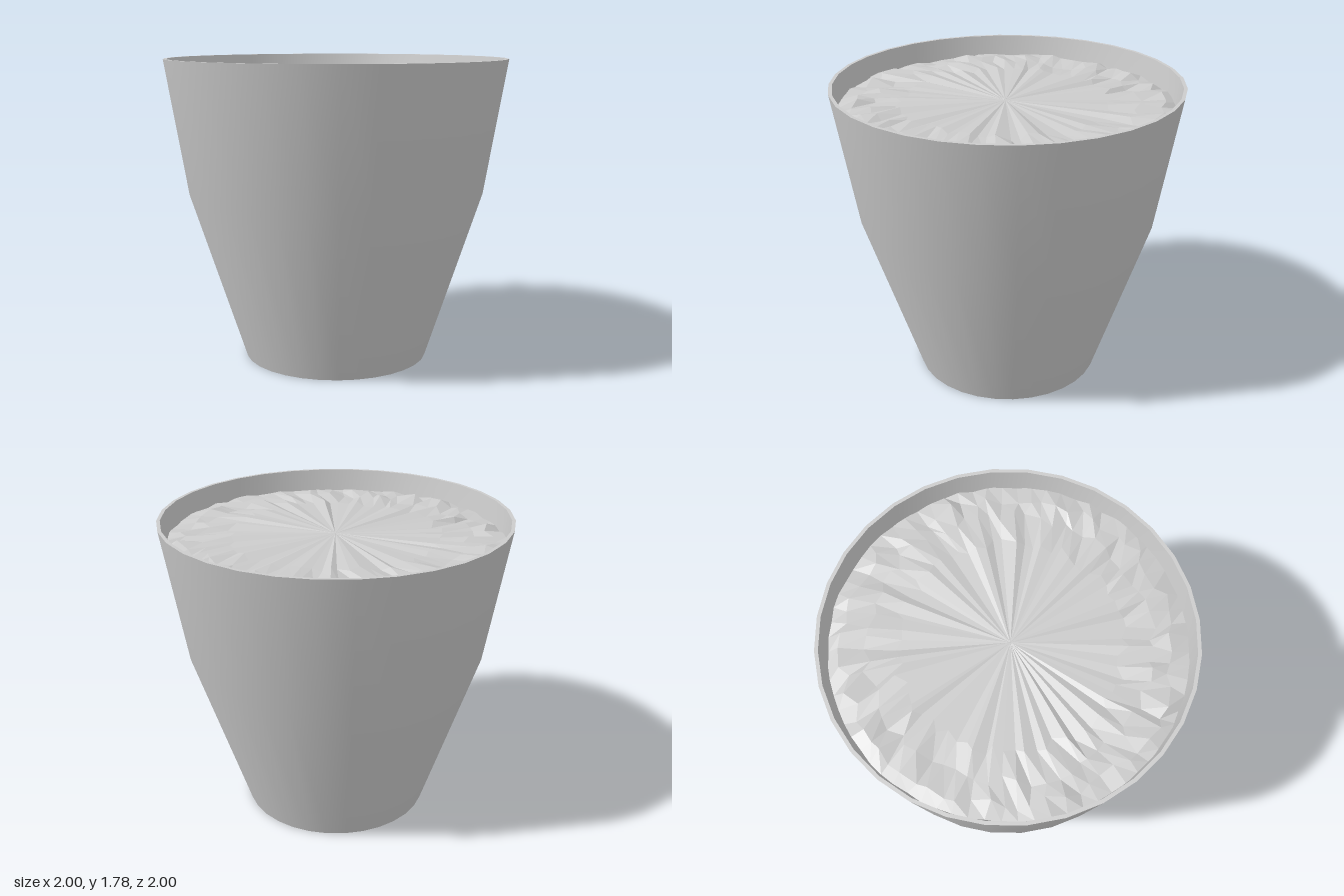
import * as THREE from 'three';
import { toCreasedNormals } from 'three/addons/utils/BufferGeometryUtils.js';

const material = new THREE.MeshStandardMaterial({ color: 0xcccccc });
const soilMaterial = new THREE.MeshStandardMaterial({
  color: 0xcccccc, flatShading: true, side: THREE.DoubleSide,
});

// Small seeded generator, values in -1..1
function seeded(seed) {
  return () => {
    seed = (seed * 16807) % 2147483647;
    return (seed / 2147483647) * 2 - 1;
  };
}

// Thin-walled pot: up the outside, over the rim, down the inside
function makePot() {
  const profile = [
    [0, 0], [0.545, 0], [0.87, 1], [1, 1.78],
    [0.98, 1.78], [0.85, 1], [0.533, 0.02], [0, 0.02],
  ].map(([r, y]) => new THREE.Vector2(r, y));
  const geometry = toCreasedNormals(new THREE.LatheGeometry(profile, 32), Math.PI / 6);
  const pot = new THREE.Mesh(geometry, material);
  pot.name = 'pot';
  return pot;
}

// Uneven soil: long facets fanning from the centre, rougher near the wall
function makeSoil() {
  const random = seeded(417);
  const segments = 72;
  const radii = [0.6, 0.76, 0.87, 0.958];
  const bump = [0.014, 0.018, 0.02, 0.012];
  const positions = [0.01, 1.67, 0.01];
  const index = [];
  radii.forEach((radius, ring) => {
    const edge = ring === radii.length - 1;
    for (let i = 0; i < segments; i++) {
      const a = ((i + (edge ? 0 : random() * 0.3)) / segments) * Math.PI * 2;
      const r = radius + random() * (edge ? 0.004 : 0.035);
      const y = 1.67 + random() * bump[ring] - (edge ? 0.015 : 0);
      positions.push(0.006 + r * Math.sin(a), y, 0.006 + r * Math.cos(a));
    }
  });
  for (let i = 0; i < segments; i++) {
    const j = (i + 1) % segments;
    index.push(0, 1 + i, 1 + j);
    for (let ring = 1; ring < radii.length; ring++) {
      const inner = 1 + (ring - 1) * segments;
      const outer = inner + segments;
      index.push(inner + i, outer + i, outer + j, inner + i, outer + j, inner + j);
    }
  }
  const geometry = new THREE.BufferGeometry();
  geometry.setAttribute('position', new THREE.Float32BufferAttribute(positions, 3));
  geometry.setIndex(index);
  geometry.computeVertexNormals();
  const soil = new THREE.Mesh(geometry, soilMaterial);
  soil.name = 'soil';
  return soil;
}

export function createModel() {
  const group = new THREE.Group();
  group.name = 'plantPot';
  group.add(makePot(), makeSoil());
  return group;
}
